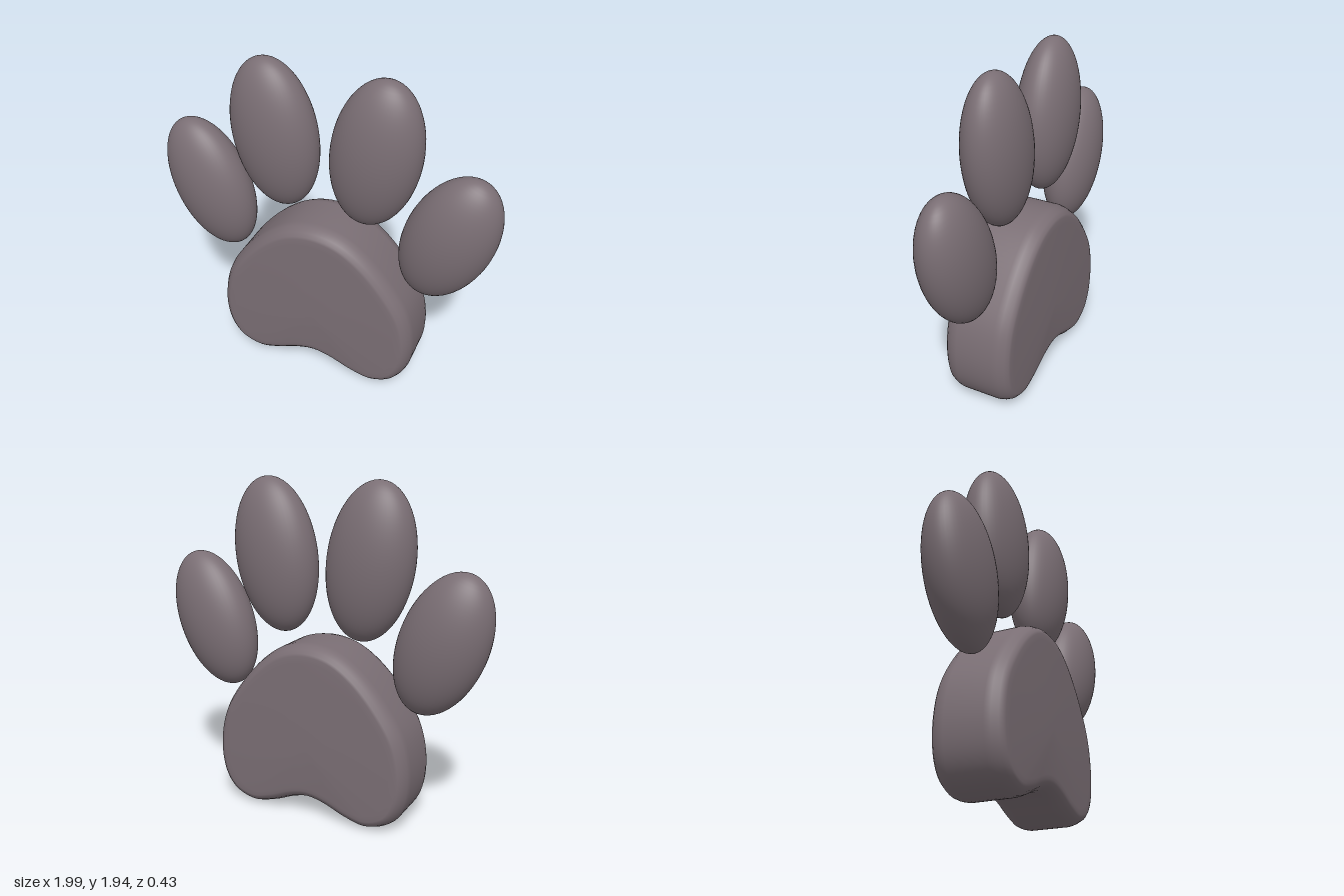
import * as THREE from 'three';
import { mergeVertices } from 'three/addons/utils/BufferGeometryUtils.js';

// Heart-shaped cushion: one outline swept through inset rings, with slightly domed faces
function padGeometry() {
  const half = [[0, 1.04], [0.16, 1.01], [0.31, 0.915], [0.47, 0.74], [0.575, 0.56], [0.614, 0.34],
    [0.585, 0.16], [0.51, 0.055], [0.37, 0.003], [0.23, 0.033], [0.1, 0.085], [0, 0.105]];
  const left = half.map(([x, y]) => new THREE.Vector3(-x, y, 0));
  const right = half.slice(1, -1).reverse().map(([x, y]) => new THREE.Vector3(x, y, 0));
  const curve = new THREE.CatmullRomCurve3([...left, ...right], true, 'centripetal');
  const n = 120;

  // inset from the outline, scale towards the middle, depth
  const front = [[0, 1, 0.11], [0.008, 1, 0.145], [0.025, 1, 0.18], [0.045, 1, 0.197], [0.06, 1, 0.202],
    [0.065, 0.94, 0.204], [0.065, 0.66, 0.209], [0.065, 0.33, 0.213], [0.065, 0, 0.215]];
  const rings = [...front.map(([i, s, z]) => [i, s, -z]).reverse(), ...front];
  const pos = [], index = [];
  rings.forEach(([inset, s, z], r) => {
    for (let i = 0; i < n; i++) {
      const p = curve.getPointAt(i / n), t = curve.getTangentAt(i / n);
      const x = p.x - t.y * inset, y = p.y + t.x * inset;
      pos.push(x * s, 0.45 + (y - 0.45) * s, z);
      if (r === rings.length - 1) continue;
      const a = r * n + i, b = r * n + (i + 1) % n;
      if (r > 0) index.push(a, b, b + n);
      else index.push(a, b + n, a + n);
      if (r > 0 && r < rings.length - 2) index.push(a, b + n, a + n);
    }
  });
  const g = new THREE.BufferGeometry();
  g.setAttribute('position', new THREE.Float32BufferAttribute(pos, 3));
  g.setIndex(index);
  const merged = mergeVertices(g, 1e-5);
  merged.computeVertexNormals();
  return merged;
}

export function createModel() {
  const group = new THREE.Group();
  const mat = new THREE.MeshStandardMaterial({ color: 0x7a6e74 });
  mat.name = 'warm grey';

  const pad = new THREE.Mesh(padGeometry(), mat);
  pad.name = 'mainPad';
  pad.position.x = -0.008;
  group.add(pad);

  // Four egg-shaped toes fanned around the pad
  const ball = new THREE.SphereGeometry(1, 48, 32);
  const toes = [
    ['rightOuterToe', -0.725, 1.085, 0.02, 0.247, 0.422, 20.5],
    ['rightInnerToe', -0.305, 1.498, 0, 0.254, 0.446, 8.6],
    ['leftInnerToe', 0.285, 1.498, 0, 0.254, 0.446, -8.6],
    ['leftOuterToe', 0.72, 1.08, 0, 0.247, 0.422, -20.5],
  ];
  for (const [name, x, y, z, w, h, tilt] of toes) {
    const toe = new THREE.Mesh(ball, mat);
    toe.name = name;
    toe.position.set(x, y, z);
    toe.scale.set(w, h, 0.169);
    toe.rotation.z = THREE.MathUtils.degToRad(tilt);
    group.add(toe);
  }
  return group;
}
